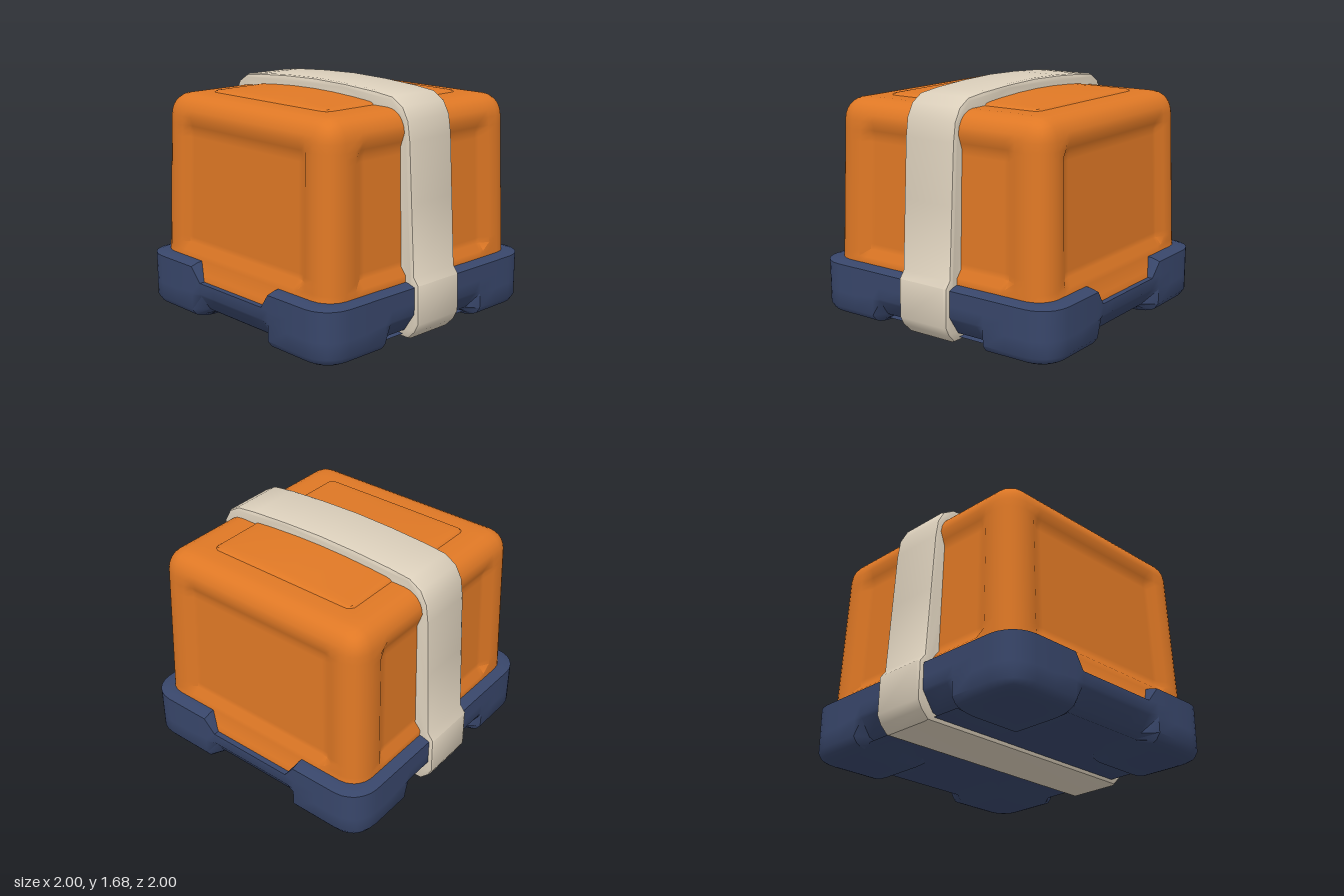
import * as THREE from 'three';
import { toCreasedNormals } from 'three/addons/utils/BufferGeometryUtils.js';

const clamp = THREE.MathUtils.clamp;
// 0 up to a, rising to 1 at b
const ramp = (v, a, b) => clamp((v - a) / (b - a), 0, 1);
// positive grid lines -> symmetric list
const mirror = (list) => [...list.slice(1).reverse().map((v) => -v), ...list];

// Box on uneven grid lines with rounded edges, then reshaped by a rule.
// Radii: side for the upright corners, bottom and top for the rims.
function warpedBox(xs, ys, zs, { side, bottom, top }, rule, crease) {
  const lines = [xs, ys, zs];
  const low = [side, bottom, side], high = [side, top, side];
  const geo = new THREE.BoxGeometry(2, 2, 2, xs.length - 1, ys.length - 1, zs.length - 1);
  const pos = geo.attributes.position;
  for (let i = 0; i < pos.count; i++) {
    const p = [pos.getX(i), pos.getY(i), pos.getZ(i)].map((v, a) =>
      lines[a][Math.round((v + 1) / 2 * (lines[a].length - 1))]);
    const inner = p.map((v, a) => clamp(v, lines[a][0] + low[a], lines[a].at(-1) - high[a]));
    const r = p.map((v, a) => (v < inner[a] ? low[a] : high[a]));
    const d = p.map((v, a) => (v - inner[a]) / r[a]);
    const len = Math.hypot(...d);
    const k = len > 0 ? Math.max(...d.map(Math.abs)) / len : 0;
    const q = new THREE.Vector3(...inner.map((v, a) => v + d[a] * k * r[a]));
    rule(q, p);
    pos.setXYZ(i, q.x, q.y, q.z);
  }
  return toCreasedNormals(geo, crease);
}

export function createModel() {
  const group = new THREE.Group();
  const material = (name, color) => {
    const m = new THREE.MeshStandardMaterial({ color });
    m.name = name;
    return m;
  };
  const orange = material('orange shell', 0xdf7825);
  const navy = material('navy base', 0x38466a);
  const cream = material('cream strap', 0xdbcfbb);
  const add = (name, geo, mat) => {
    const mesh = new THREE.Mesh(geo, mat);
    mesh.name = name;
    group.add(mesh);
  };

  // Tapered shell with a shallow recessed panel on each of its four sides
  const bx = mirror([0, 0.3, 0.56, 0.6, 0.67, 0.755, 0.805, 0.855, 0.885, 0.905]);
  const bz = mirror([0, 0.3, 0.56, 0.6, 0.66, 0.735, 0.785, 0.835, 0.865, 0.885]);
  const by = [0.24, 0.29, 0.33, 0.42, 0.46, 0.51, 0.55, 0.91, 1.27, 1.31, 1.35, 1.41, 1.46, 1.505, 1.54, 1.56];
  const panelDepth = (side, y) =>
    0.04 * Math.min(1 - ramp(Math.abs(side), 0.6, 0.67), ramp(y, 0.46, 0.51), 1 - ramp(y, 1.31, 1.41));
  add('shell', warpedBox(bx, by, bz, { side: 0.15, bottom: 0, top: 0.15 }, (q, p) => {
    if (Math.abs(p[0]) > 0.9) q.x -= Math.sign(p[0]) * panelDepth(p[2], p[1]);
    if (Math.abs(p[2]) > 0.88) q.z -= Math.sign(p[2]) * panelDepth(p[0], p[1]);
    const taper = 1 - 0.036 * Math.max(0, q.y - 0.42);
    q.z *= taper;
    q.x *= taper + 0.05 * (1 - ramp(q.y, 0.29, 0.42));
  }, 0.75), orange);

  // Slightly domed lid panel
  const lidX = mirror([0, 0.2, 0.4, 0.55, 0.59, 0.63]);
  const lidZ = mirror([0, 0.2, 0.4, 0.51, 0.55, 0.59]);
  const lid = warpedBox(lidX, [1.5, 1.56, 1.575], lidZ, { side: 0.05, bottom: 0, top: 0.012 }, (q) => {
    if (q.y > 1.54) q.y += 0.035 * (1 - (q.x / 0.63) ** 2) * (1 - (q.z / 0.59) ** 2);
  }, 0.5);
  lid.translate(0, 0, -0.015);
  add('lidPanel', lid, orange);

  // Base with four corner feet, cut-down side rails and lower walls sloping inwards
  const fx = mirror([0, 0.22, 0.42, 0.48, 0.65, 0.8, 0.86, 0.92, 0.97, 1]);
  const fz = mirror([0, 0.18, 0.33, 0.41, 0.6, 0.765, 0.825, 0.885, 0.935, 0.965]);
  const fy = [0, 0.03, 0.08, 0.19, 0.21, 0.29, 0.38, 0.395, 0.42];
  add('base', warpedBox(fx, fy, fz, { side: 0.2, bottom: 0.08, top: 0.025 }, (q, p) => {
    const ax = Math.abs(p[0]), az = Math.abs(p[2]);
    const footX = ramp(ax, 0.42, 0.48), footZ = ramp(az, 0.33, 0.41);
    const lower = 1 - ramp(p[1], 0.03, 0.21);
    if (ax > 0.9) q.x -= Math.sign(p[0]) * (1 - footZ) * (0.01 + 0.12 * lower);
    if (az > 0.9) q.z -= Math.sign(p[2]) * (1 - footX) * 0.12 * lower;
    q.y = Math.min(q.y, 0.29 + 0.13 * footZ);
    q.y = Math.max(q.y, 0.05 * (1 - Math.min(footX, footZ)));
  }, 0.75), navy);

  // Strap wrapped around the whole body from front to back
  const half = [[0.3, 1.67], [0.58, 1.653], [0.74, 1.635], [0.83, 1.58], [0.88, 1.49], [0.9, 1.36],
    [0.925, 0.95], [0.955, 0.46], [0.995, 0.41], [1, 0.14], [0.97, 0.08], [0.91, 0.02]];
  const outline = [[0, 1.678], ...half, ...half.slice().reverse().map(([z, y]) => [-z, y])]
    .map(([z, y]) => new THREE.Vector2(z, y));
  const shape = new THREE.Shape(outline);
  shape.holes.push(new THREE.Path(outline.map((v) => new THREE.Vector2(v.x * 0.87, 0.85 + (v.y - 0.85) * 0.87))));
  const strap = new THREE.ExtrudeGeometry(shape, {
    depth: 0.36, bevelEnabled: true, bevelThickness: 0.028, bevelSize: 0.025, bevelOffset: -0.025, bevelSegments: 2,
  });
  strap.translate(0, 0, -0.18);
  strap.rotateY(-Math.PI / 2);
  add('strap', toCreasedNormals(strap, 0.7), cream);

  return group;
}
